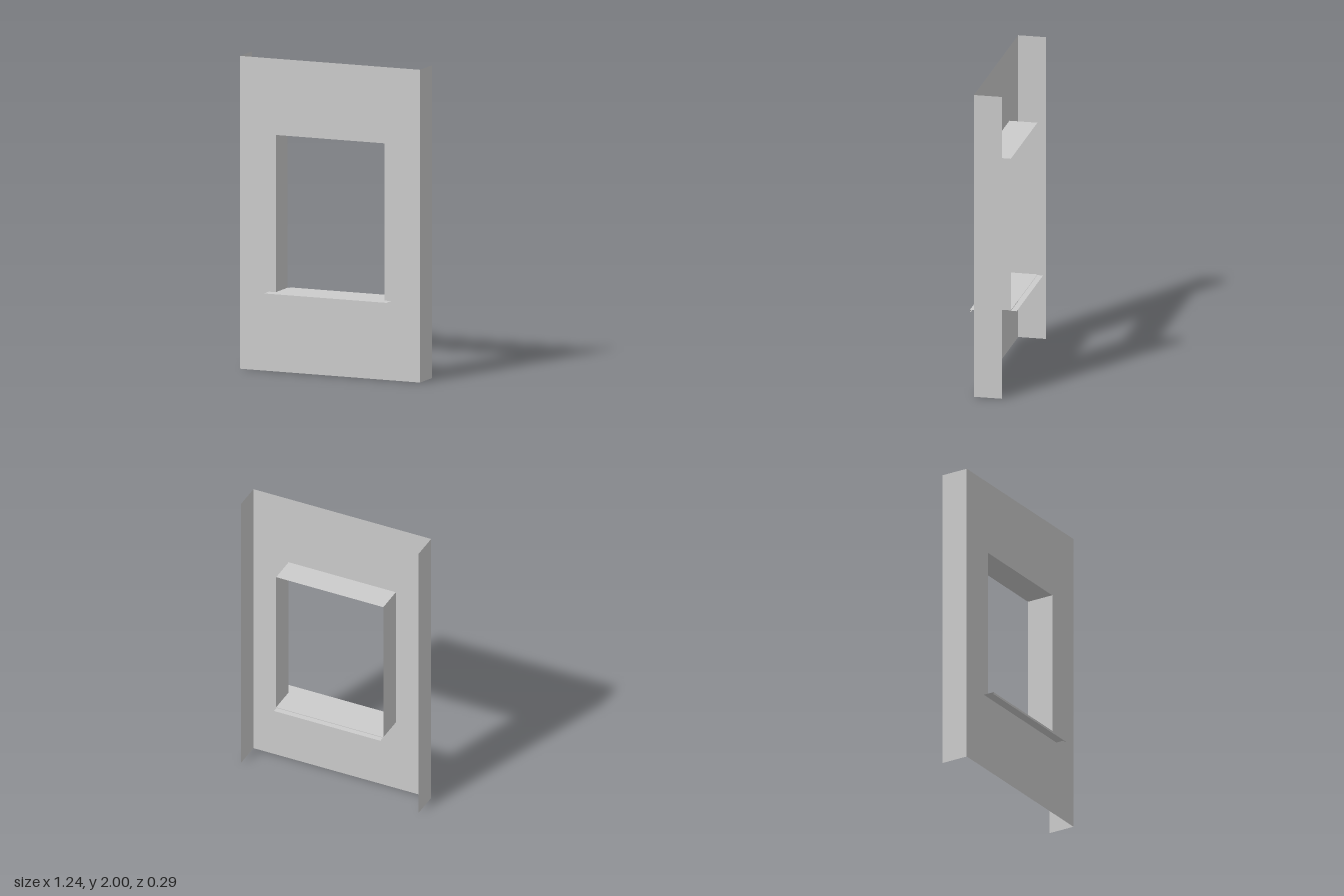
import * as THREE from 'three';

const W = 0.622, H = 2;                       // panel half width, height
const O = 0.375, BOTTOM = 0.507, TOP = 1.512; // opening
const FRONT = 0.072, BACK = -0.109;           // sheet depth

const sheet = new THREE.MeshStandardMaterial({ color: 0xcccccc, side: THREE.DoubleSide, flatShading: true });

export function createModel() {
  const group = new THREE.Group();
  const add = (name, geometry) => {
    const mesh = new THREE.Mesh(geometry, sheet);
    mesh.name = name;
    group.add(mesh);
    return mesh;
  };

  // Folded sheet: a [z, y] profile swept across x
  const fold = (name, halfWidth, profile) => {
    const positions = [], index = [];
    profile.forEach(([z, y], i) => {
      positions.push(-halfWidth, y, z, halfWidth, y, z);
      const a = 2 * (i - 1);
      if (i > 0) index.push(a, a + 1, a + 2, a + 1, a + 3, a + 2);
    });
    const g = new THREE.BufferGeometry();
    g.setAttribute('position', new THREE.Float32BufferAttribute(positions, 3));
    g.setIndex(index);
    g.computeVertexNormals();
    return add(name, g);
  };

  // Upright sheet running front to back
  const upright = (name, x, y0, y1) => {
    const mesh = add(name, new THREE.PlaneGeometry(FRONT - BACK, y1 - y0));
    mesh.rotation.y = Math.sign(x) * Math.PI / 2;
    mesh.position.set(x, (y0 + y1) / 2, (FRONT + BACK) / 2);
  };

  // Front panel with window opening
  const shape = new THREE.Shape([[-W, 0], [W, 0], [W, H], [-W, H]].map(p => new THREE.Vector2(...p)));
  shape.holes.push(new THREE.Path([[-O, BOTTOM], [-O, TOP], [O, TOP], [O, BOTTOM]].map(p => new THREE.Vector2(...p))));
  add('frontPanel', new THREE.ShapeGeometry(shape)).position.z = FRONT;

  // Side returns and opening jambs
  for (const [side, s] of [['left', 1], ['right', -1]]) {
    upright(side + 'Return', s * W, 0, H);
    upright(side + 'Jamb', s * O, BOTTOM, TOP);
  }

  // Head of the opening
  fold('openingHead', O, [[FRONT, TOP], [BACK, TOP]]);

  // Sill: projecting ledge with drip lip, base of the opening, rear tab
  fold('sillLedge', 0.423, [[0.139, 0.493], [0.145, 0.493], [0.145, BOTTOM], [FRONT, BOTTOM]]);
  fold('sillBase', O, [[FRONT, BOTTOM], [BACK, BOTTOM]]);
  fold('sillRearTab', 0.372, [[BACK, 0.503], [-0.146, 0.503]]);

  return group;
}
